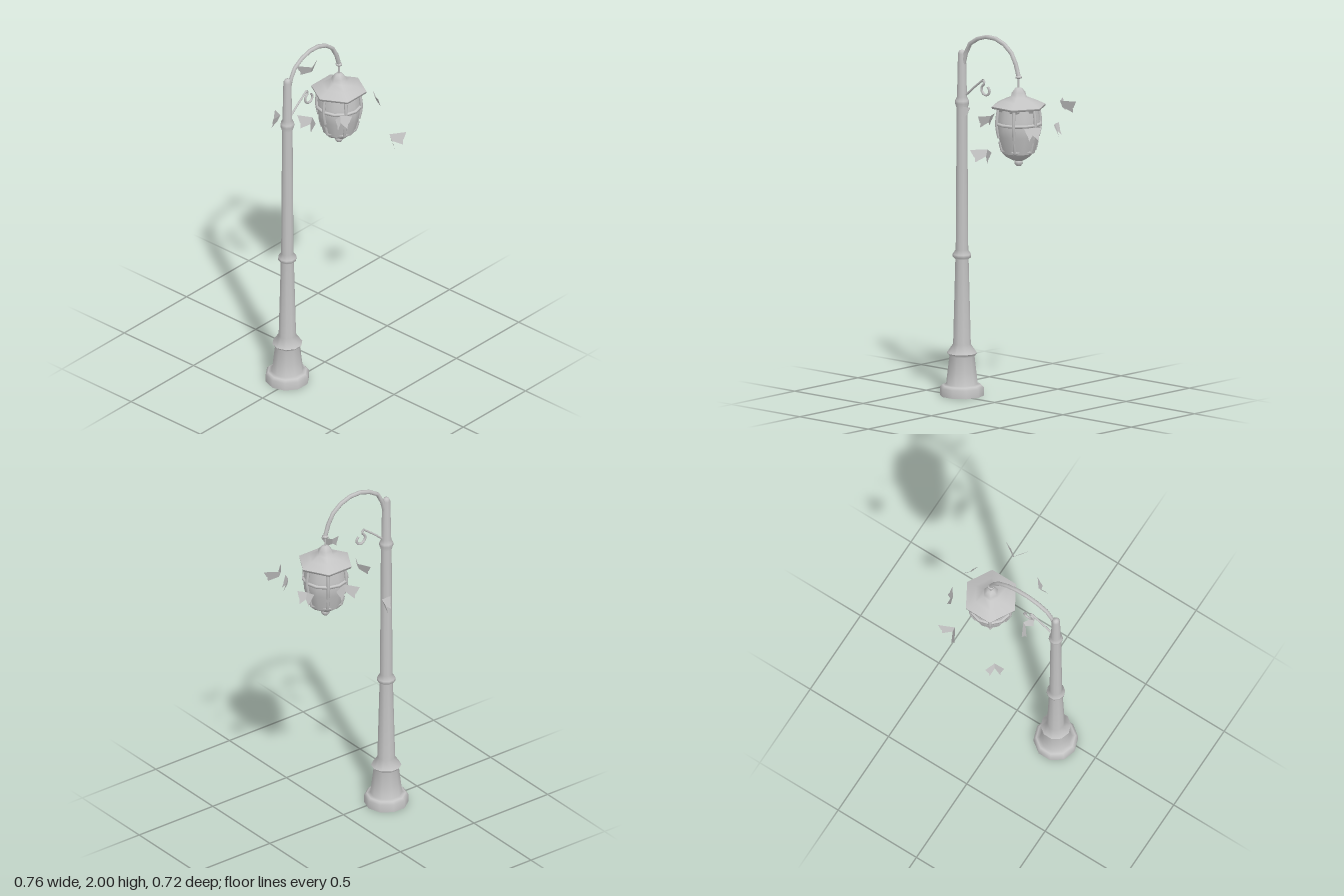
import * as THREE from 'three';

const iron = new THREE.MeshStandardMaterial({ color: 0xc4c4c4, side: THREE.DoubleSide });
iron.name = 'pale grey';

const POST_X = -0.267, LAMP_X = 0.147, MID_Z = -0.031;

export function createModel() {
  const root = new THREE.Group();
  root.name = 'streetLamp';

  const add = (name, geometry, x = 0, y = 0, z = 0, parent = root) => {
    const mesh = new THREE.Mesh(geometry, iron);
    mesh.name = name;
    mesh.position.set(x, y, z);
    parent.add(mesh);
    return mesh;
  };
  // Turned part from [radius, height] pairs, listed bottom to top
  const turned = (profile, sides) => new THREE.LatheGeometry(
    profile.map(([r, y]) => new THREE.Vector2(r, y)), sides, Math.PI / 2);
  // Tube through [x, y] pairs in the plane of the arm
  const tube = (points, radius, steps) => new THREE.TubeGeometry(
    new THREE.CatmullRomCurve3(points.map(([x, y]) => new THREE.Vector3(x, y, 0))), steps, radius, 6);

  // Post: open flared foot, tapering shaft and two collars
  const foot = [[0.119, 0], [0.119, 0.045], [0.105, 0.058], [0.086, 0.063], [0.078, 0.13], [0.068, 0.215], [0.082, 0.232]];
  const shaft = [[0.082, 0.232], [0.048, 0.282], [0.036, 0.745], [0.05, 0.757], [0.05, 0.773], [0.034, 0.797],
    [0.029, 1.57], [0.039, 1.6], [0.037, 1.615], [0.027, 1.635], [0.022, 1.87], [0.014, 1.888], [0, 1.892]];
  add('postFoot', turned(foot, 10), POST_X, 0, MID_Z);
  add('postShaft', turned(shaft, 10), POST_X, 0, MID_Z);

  // Curved arm
  add('arm', tube([[-0.257, 1.81], [-0.243, 1.865], [-0.21, 1.93], [-0.15, 1.968], [-0.063, 1.988],
    [0.03, 1.968], [0.107, 1.905], [0.147, 1.8]], 0.012, 9), 0, 0, MID_Z);

  // Small bracket with a curled hook
  add('bracketRod', tube([[-0.235, 1.65], [-0.175, 1.7], [-0.113, 1.747]], 0.006, 2), 0, 0, MID_Z);
  add('bracketHook', tube([[-0.112, 1.745], [-0.103, 1.728], [-0.121, 1.71], [-0.122, 1.685], [-0.1, 1.666],
    [-0.074, 1.672], [-0.066, 1.697], [-0.078, 1.712]], 0.007, 14), 0, 0, MID_Z);

  // Lantern
  const lantern = new THREE.Group();
  lantern.name = 'lantern';
  lantern.position.set(LAMP_X, 0, MID_Z);
  root.add(lantern);
  const part = (name, profile, sides) => add(name, turned(profile, sides), 0, 0, 0, lantern);
  part('hangerBead', [[0, 1.785], [0.018, 1.792], [0.018, 1.8], [0, 1.81]], 6);
  part('hangerRod', [[0.005, 1.72], [0.005, 1.79]], 6);
  part('roof', [[0.152, 1.643], [0.095, 1.67], [0.045, 1.69], [0.038, 1.715], [0.02, 1.737], [0, 1.742]], 6);
  part('roofRim', [[0.105, 1.632], [0.15, 1.632], [0.152, 1.643]], 6);
  part('glass', [[0.105, 1.635], [0.116, 1.57], [0.119, 1.525], [0.114, 1.48], [0.088, 1.385]], 12);
  part('middleBand', [[0.112, 1.535], [0.127, 1.539], [0.127, 1.551], [0.112, 1.555]], 12);
  part('topBand', [[0.1, 1.61], [0.116, 1.615], [0.116, 1.632]], 6);
  part('bottomCap', [[0, 1.338], [0.03, 1.343], [0.07, 1.365], [0.092, 1.387], [0.1, 1.4], [0.085, 1.412]], 6);
  part('finial', [[0, 1.309], [0.013, 1.312], [0.023, 1.325], [0.021, 1.337], [0.012, 1.348]], 8);

  // Six ribs over the glass, one at each roof corner
  for (let i = 0; i < 6; i++) {
    const rib = new THREE.Group();
    rib.name = 'rib' + (i + 1);
    rib.rotation.y = i * Math.PI / 3;
    lantern.add(rib);
    add('ribUpper', tube([[0.112, 1.635], [0.122, 1.57], [0.122, 1.525], [0.11, 1.47]], 0.009, 5), 0, 0, 0, rib);
    add('ribLower', tube([[0.106, 1.45], [0.101, 1.425], [0.092, 1.395]], 0.008, 2), 0, 0, 0, rib);
  }

  // Moths: height, body [x, z], and the two wing tips [x, z]
  const moths = [
    [1.43, [-0.04, -0.286], [-0.1, -0.284], [-0.018, -0.345]],
    [1.615, [0.215, -0.285], [0.167, -0.36], [0.298, -0.322]],
    [1.53, [0.335, -0.115], [0.322, -0.16], [0.368, -0.072]],
    [1.53, [0.328, 0.06], [0.312, 0.105], [0.362, 0.022]],
    [1.43, [0.207, 0.28], [0.15, 0.357], [0.285, 0.332]],
    [1.605, [-0.04, 0.15], [-0.088, 0.155], [-0.002, 0.2]],
    [1.53, [-0.062, -0.035], [-0.1, -0.11], [-0.1, 0.023]],
  ];
  moths.forEach(([y, body, ...tips], n) => {
    // Lower points lean away from the lantern
    const out = new THREE.Vector2(body[0] - LAMP_X, body[1] - MID_Z).normalize();
    const corners = [];
    for (const tip of tips) {
      const at = (t, h) => {
        const lean = (0.025 - h) * 0.4;
        return [body[0] + (tip[0] - body[0]) * t + out.x * lean, y + h,
          body[1] + (tip[1] - body[1]) * t + out.y * lean];
      };
      const a = at(0, 0.025), b = at(1, 0.025), c = at(0.7, -0.012), d = at(0, -0.012);
      const e = at(0.65, -0.012), f = at(0.55, -0.04);
      corners.push(...a, ...b, ...c, ...a, ...c, ...d, ...d, ...e, ...f);
    }
    const wings = new THREE.BufferGeometry();
    wings.setAttribute('position', new THREE.Float32BufferAttribute(corners, 3));
    wings.computeVertexNormals();
    add('moth' + (n + 1), wings);
  });

  return root;
}
